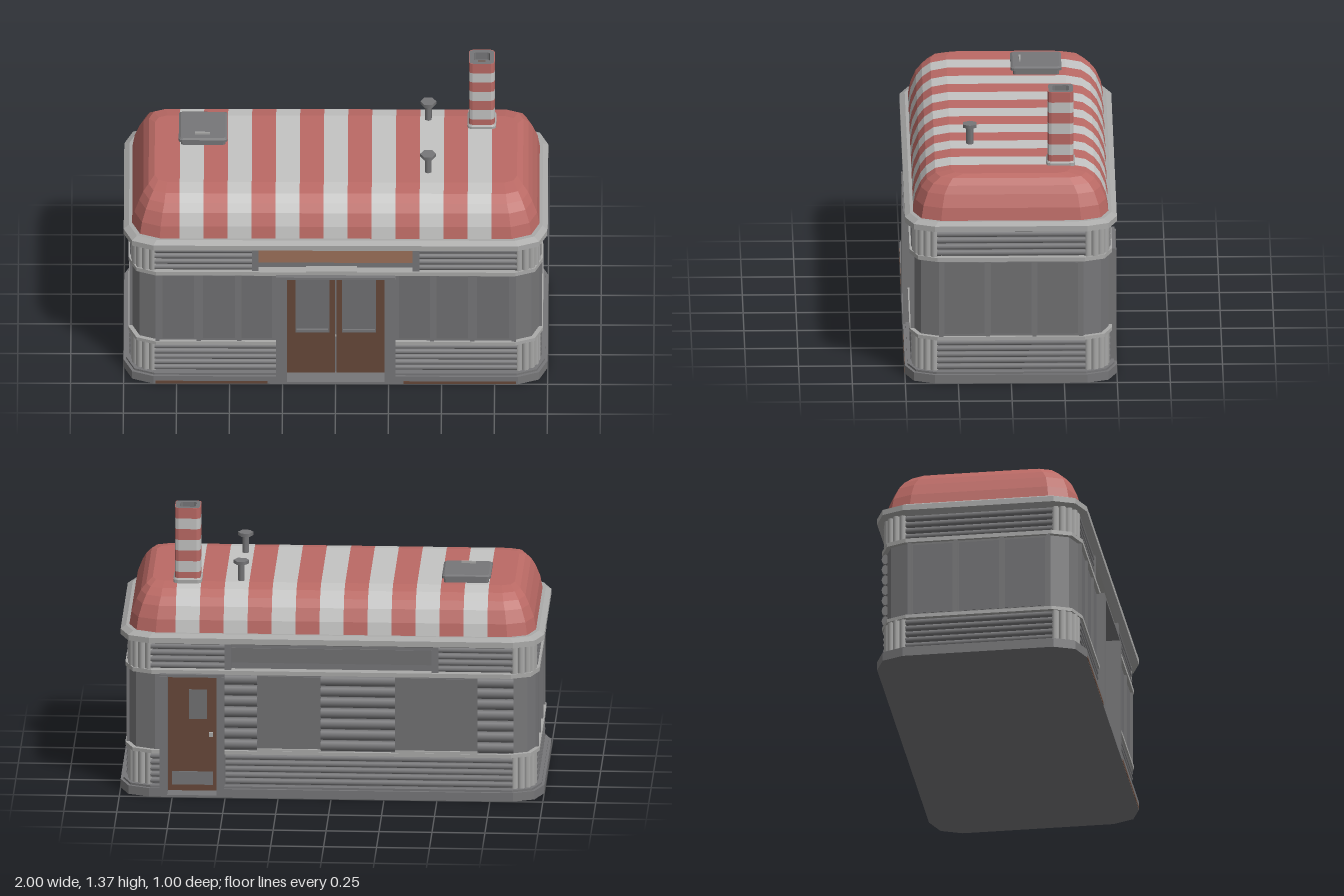
import * as THREE from 'three';

const mat = (name, color) => {
  const m = new THREE.MeshStandardMaterial({ color });
  m.name = name;
  return m;
};

// Rounded-rectangle ring (two facets per corner) at height y
function ring(a, b, r, y) {
  const c = 0.29 * r, q = [[a, b - r], [a - c, b - c], [a - r, b]], pts = [];
  q.forEach(([x, z]) => pts.push([x, y, z]));
  [...q].reverse().forEach(([x, z]) => pts.push([-x, y, z]));
  q.forEach(([x, z]) => pts.push([-x, y, -z]));
  [...q].reverse().forEach(([x, z]) => pts.push([x, y, -z]));
  return pts;
}

// Flat-faceted skin through rings listed from bottom to top, with both ends closed
function loft(rings) {
  const v = [], tri = (...p) => p.forEach(k => v.push(...k));
  const n = rings[0].length;
  for (let k = 0; k < rings.length - 1; k++) {
    const L = rings[k], U = rings[k + 1];
    for (let i = 0; i < n; i++) {
      const j = (i + 1) % n;
      tri(L[i], U[i], U[j]);
      tri(L[i], U[j], L[j]);
    }
  }
  const B = rings[0], T = rings[rings.length - 1];
  for (let i = 1; i < n - 1; i++) {
    tri(B[0], B[i], B[i + 1]);
    tri(T[0], T[i + 1], T[i]);
  }
  const g = new THREE.BufferGeometry();
  g.setAttribute('position', new THREE.Float32BufferAttribute(v, 3));
  g.computeVertexNormals();
  return g;
}

// Wall layer with recesses cut for the front entrance and the rear door
function notched(a, b, r, y0, y1) {
  const p = ring(a, b, r, 0).map(([x, , z]) => [x, z]), d = 0.41;
  const outline = [...p.slice(0, 3), [0.235, b], [0.235, d], [-0.235, d], [-0.235, b],
    ...p.slice(3, 9), [0.54, -b], [0.54, -d], [0.775, -d], [0.775, -b], ...p.slice(9)];
  const shape = new THREE.Shape(outline.map(([x, z]) => new THREE.Vector2(x, -z)));
  return new THREE.ExtrudeGeometry(shape, { depth: y1 - y0, bevelEnabled: false })
    .rotateX(-Math.PI / 2).translate(0, y0, 0);
}

export function createModel() {
  const model = new THREE.Group();
  model.name = 'diner';
  const red = mat('roof red', 0xbb6a65), white = mat('stripe white', 0xc4c4c3);
  const wall = mat('wall grey', 0x777779), metal = mat('bright metal', 0xaaaaa9);
  const steel = mat('ribbed steel', 0x777779), glass = mat('window glass', 0x717173);
  const brown = mat('door brown', 0x674839), sign = mat('sign tan', 0x9c715a);

  const add = (name, geo, m, x = 0, y = 0, z = 0) => {
    const mesh = new THREE.Mesh(geo, m);
    mesh.name = name;
    mesh.position.set(x, y, z);
    model.add(mesh);
    return mesh;
  };
  // Box given by its extents
  const box = (name, m, x0, x1, y0, y1, z0, z1) => add(name,
    new THREE.BoxGeometry(x1 - x0, y1 - y0, z1 - z0), m, (x0 + x1) / 2, (y0 + y1) / 2, (z0 + z1) / 2);
  const slab = (name, m, a, b, r, y0, y1) => add(name, loft([ring(a, b, r, y0), ring(a, b, r, y1)]), m);

  // Stacked body layers
  slab('floor', wall, 1, 0.5, 0.14, 0, 0.01);
  add('base', notched(1, 0.5, 0.14, 0.01, 0.042), wall);
  add('baseLip', notched(0.988, 0.488, 0.135, 0.042, 0.052), wall);
  add('lowerWall', notched(0.955, 0.455, 0.12, 0.05, 0.21), steel);
  add('sillTrim', notched(0.978, 0.478, 0.13, 0.207, 0.224), metal);
  add('windowWall', notched(0.962, 0.462, 0.13, 0.22, 0.6), wall);
  slab('headTrim', metal, 0.978, 0.478, 0.13, 0.6, 0.62);
  slab('upperWall', steel, 0.95, 0.435, 0.12, 0.62, 0.75);
  add('cornice', loft([ring(0.965, 0.465, 0.13, 0.745), ring(1, 0.5, 0.14, 0.758),
    ring(1, 0.5, 0.14, 0.785), ring(0.975, 0.475, 0.13, 0.8)]), metal);

  // Horizontal ribs along the walls
  function ribs(x0, x1, z, y0, y1, n) {
    const pitch = (y1 - y0) / n;
    for (let i = 0; i < n; i++) {
      const g = new THREE.CylinderGeometry(pitch * 0.48, pitch * 0.48, x1 - x0, 8).rotateZ(Math.PI / 2);
      g.scale(1, 1, 0.018 / (pitch * 0.48));
      add('wallRib', g, steel, (x0 + x1) / 2, y0 + (i + 0.5) * pitch, z);
    }
  }
  function sideRibs(x, y0, y1, n) {
    const pitch = (y1 - y0) / n;
    for (let i = 0; i < n; i++) {
      const g = new THREE.CylinderGeometry(pitch * 0.48, pitch * 0.48, 0.7, 8).rotateX(Math.PI / 2);
      g.scale(0.018 / (pitch * 0.48), 1, 1);
      add('sideRib', g, steel, x, y0 + (i + 0.5) * pitch, 0);
    }
  }
  for (const s of [-1, 1]) {
    const span = (a, b) => s > 0 ? [a, b] : [-b, -a];
    ribs(...span(0.28, 0.855), 0.455, 0.055, 0.205, 5);
    ribs(...span(0.395, 0.855), 0.452, 0.622, 0.747, 4);
    ribs(...span(0.5, 0.855), -0.452, 0.622, 0.747, 4);
    sideRibs(s * 0.955, 0.055, 0.205, 5);
    sideRibs(s * 0.952, 0.622, 0.747, 4);
  }
  ribs(-0.855, 0.5, -0.455, 0.055, 0.205, 5);
  ribs(0.81, 0.855, -0.455, 0.055, 0.205, 5);

  // Fluted corner columns
  for (const sx of [-1, 1]) for (const sz of [-1, 1]) for (const [y0, y1] of [[0.05, 0.21], [0.62, 0.75]]) {
    for (let i = 0; i < 5; i++) {
      const t = (i / 4) * Math.PI / 2;
      add('cornerFlute', new THREE.CylinderGeometry(0.019, 0.019, y1 - y0, 8), metal,
        sx * (0.862 + 0.085 * Math.cos(t)), (y0 + y1) / 2, sz * (0.362 + 0.085 * Math.sin(t)));
    }
  }

  // Window mullions and panes on the front and both ends
  for (const s of [-1, 1]) {
    for (const x of [0.455, 0.645, 0.84]) box('frontMullion', wall, s * x - 0.01, s * x + 0.01, 0.224, 0.6, 0.455, 0.473);
    for (const x of [0.375, 0.55, 0.7425]) box('frontPane', glass, s * x - 0.075, s * x + 0.075, 0.235, 0.59, 0.46, 0.464);
    for (const z of [-0.33, -0.11, 0.11, 0.33]) box('sideMullion', wall, s * 0.963 - 0.01, s * 0.963 + 0.01, 0.224, 0.6, z - 0.01, z + 0.01);
    for (const z of [-0.22, 0, 0.22]) box('sidePane', glass, s * 0.962 - 0.002, s * 0.962 + 0.002, 0.235, 0.59, z - 0.095, z + 0.095);
  }

  // Front entrance with two recessed leaves
  box('entranceHead', wall, -0.28, 0.28, 0.592, 0.604, 0.41, 0.5);
  box('entranceLamp', metal, -0.14, 0.1, 0.62, 0.63, 0.44, 0.485);
  for (const s of [-1, 1]) {
    box('entranceJamb', wall, s * 0.256 - 0.026, s * 0.256 + 0.026, 0.005, 0.595, 0.405, 0.5);
    box('doorLeaf', brown, s * 0.117 - 0.113, s * 0.117 + 0.113, 0.01, 0.594, 0.409, 0.42);
    box('doorGlass', glass, s * 0.11 - 0.08, s * 0.11 + 0.08, 0.24, 0.55, 0.418, 0.423);
    box('pushBar', steel, s * 0.11 - 0.075, s * 0.11 + 0.075, 0.25, 0.262, 0.421, 0.433);
    box('baseStripe', brown, s * 0.585 - 0.265, s * 0.585 + 0.265, 0.002, 0.016, 0.495, 0.501);
  }

  // Sign boards set back inside raised borders
  function signBoard(name, m, w, s) {
    const deep = (n, mm, x0, x1, y0, y1, d) => box(n, mm, x0, x1, y0, y1, s > 0 ? 0.42 : -d, s > 0 ? d : -0.42);
    deep(name, m, -w, w, 0.65, 0.722, 0.441);
    deep(name + 'Backing', wall, -w, w, 0.622, 0.75, 0.437);
    for (const e of [-1, 1]) deep(name + 'End', wall, e * (w + 0.014) - 0.016, e * (w + 0.014) + 0.016, 0.622, 0.75, 0.472);
  }
  signBoard('frontSign', sign, 0.365, 1);
  signBoard('rearSign', glass, 0.475, -1);

  // Recessed rear service door
  box('rearDoorHead', wall, 0.505, 0.81, 0.59, 0.604, -0.495, -0.41);
  for (const x of [0.523, 0.792]) box('rearDoorJamb', wall, x - 0.018, x + 0.018, 0.005, 0.595, -0.5, -0.405);
  box('rearDoor', brown, 0.54, 0.775, 0.01, 0.592, -0.425, -0.409);
  box('rearDoorGlass', glass, 0.59, 0.675, 0.365, 0.51, -0.429, -0.423);
  box('kickPlate', steel, 0.56, 0.755, 0.04, 0.105, -0.429, -0.423);
  box('rearDoorHandle', metal, 0.56, 0.58, 0.28, 0.3, -0.44, -0.424);

  // Rear siding and panels
  for (const [a, b] of [[0.35, 0.505], [-0.3, 0.05], [-0.86, -0.69]]) ribs(a, b, -0.461, 0.226, 0.6, 7);
  for (const [a, b] of [[0.05, 0.35], [-0.69, -0.3]]) {
    box('rearWindow', glass, a, b, 0.235, 0.59, -0.466, -0.46);
    box('rearWindowSill', metal, a, b, 0.224, 0.235, -0.476, -0.46);
  }

  // Striped domed roof: extruded bands between two lofted ends
  const prof = [[0.96, 0.46, 0.8], [0.95, 0.449, 0.86], [0.927, 0.424, 0.92],
    [0.908, 0.396, 0.957], [0.883, 0.355, 0.986], [0.855, 0.28, 1]];
  const radii = [0.13, 0.125, 0.11, 0.1, 0.08, 0.06];
  const E = 0.736, W = (2 * E) / 13;
  const section = new THREE.Shape([
    ...prof.map(([, z, y]) => new THREE.Vector2(-z, y)),
    ...[...prof].reverse().map(([, z, y]) => new THREE.Vector2(z, y))]);
  for (let i = 0; i < 13; i++) {
    const g = new THREE.ExtrudeGeometry(section, { depth: W, bevelEnabled: false }).rotateY(Math.PI / 2);
    add('roofStripe', g, i % 2 ? red : white, -E + i * W);
  }
  const endRings = prof.map(([a, b, y], i) => {
    const p = ring(a, b, radii[i], y);
    return [...p.slice(0, 3), [E, y, b], [E, y, -b], ...p.slice(9)];
  });
  for (const turn of [0, Math.PI]) add('roofEnd', loft(endRings), red).rotation.y = turn;

  // Striped square chimney with an open top
  const cx = 0.687, cz = -0.237;
  const tube = (name, m, list) => add(name, loft(list.map(([s, y]) => ring(s, s, s * 0.3, y))), m, cx, 0, cz);
  tube('chimneyFoot', metal, [[0.068, 0.995], [0.068, 1.012], [0.06, 1.02]]);
  const cuts = [1.01, 1.05, 1.103, 1.156, 1.208, 1.261, 1.313];
  for (let i = 0; i < 6; i++) tube('chimneyStripe', i % 2 ? white : red, [[0.061, cuts[i]], [0.061, cuts[i + 1]]]);
  tube('chimneyTop', red, [[0.061, 1.313], [0.061, 1.365], [0.058, 1.365], [0.058, 1.32]]);
  tube('chimneyRim', wall, [[0.058, 1.315], [0.058, 1.365], [0.038, 1.365], [0.038, 1.325]]);
  box('flueOpening', brown, cx - 0.018, cx + 0.018, 1.325, 1.332, cz - 0.018, cz + 0.018);

  // Roof vents
  for (const z of [-0.255, 0.187]) {
    add('ventPipe', new THREE.CylinderGeometry(0.018, 0.018, 0.1, 6), wall, 0.435, 1.04, z);
    add('ventCap', new THREE.CylinderGeometry(0.037, 0.037, 0.016, 6).rotateY(Math.PI / 6), wall, 0.435, 1.092, z);
  }

  // Roof hatch
  add('hatchCurb', loft([ring(0.105, 0.108, 0.01, 0.99), ring(0.105, 0.108, 0.01, 1.025)]), wall, -0.627, 0, -0.14);
  add('hatchLid', loft([ring(0.115, 0.12, 0.015, 1.022), ring(0.115, 0.12, 0.015, 1.034),
    ring(0.105, 0.11, 0.012, 1.04)]), wall, -0.627, 0, -0.14);
  box('hatchHandle', metal, -0.665, -0.595, 1.038, 1.05, -0.068, -0.06);

  return model;
}
